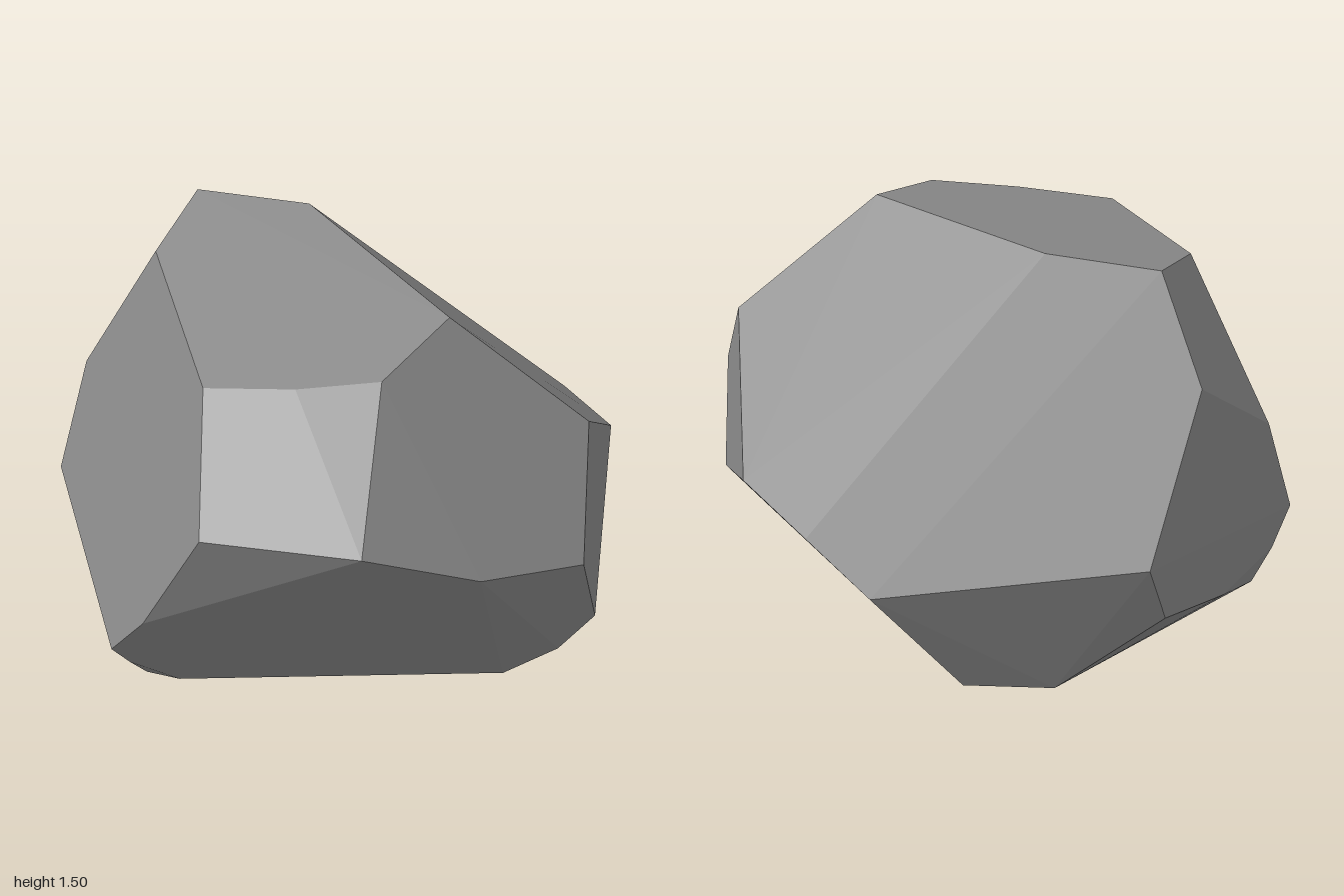
import * as THREE from 'three';
import { ConvexGeometry } from 'three/addons/geometries/ConvexGeometry.js';

export function createModel() {
  const group = new THREE.Group();
  group.name = 'rock';

  const stoneGrey = new THREE.MeshStandardMaterial({ color: 0x8a8a8a });
  stoneGrey.name = 'stone grey';

  // Corners of the boulder, grouped from the crown to the base
  const crown = [
    [-0.15, 1.5, -0.38], [-0.56, 1.475, -0.45], [-0.65, 1.39, -0.14],
    [-0.35, 1.255, 0.55], [-0.02, 1.29, 0.56], [0.28, 1.33, 0.52], [0.46, 1.43, 0.2],
  ];
  const shoulder = [
    [0.94, 1.02, 0.12], [0.99, 0.65, 0.48], [0.68, 0.71, 0.77], [0.3, 0.88, 1],
    [-0.29, 0.86, 0.94], [-0.93, 0.82, -0.32], [-0.71, 1.13, -0.68],
  ];
  const belly = [
    [0.9, 0.655, -0.5], [0.67, 0.6, -0.84], [0.44, 0.435, -0.975], [-0.54, 0.575, -1],
    [-0.59, 0.35, -0.91], [-0.78, 0.28, -0.58], [-0.87, 0.23, -0.37], [-0.94, 0.33, -0.3],
    [-1, 0.45, -0.21], [-0.52, 0.42, 0.78], [-0.66, 0.22, 0.63], [-0.61, 0.13, 0.55],
    [0.99, 0.33, 0.27], [0.86, 0.19, 0.28],
  ];
  const base = [
    [0.65, 0.025, 0.2], [0.12, 0.035, -0.83], [-0.2, 0.03, -0.83],
    [-0.69, 0.015, -0.13], [-0.58, 0.005, 0.39], [-0.46, 0, 0.41],
  ];

  // Faceted convex stone wrapped around the corners
  const corners = [...crown, ...shoulder, ...belly, ...base].map((p) => new THREE.Vector3(...p));
  const boulder = new THREE.Mesh(new ConvexGeometry(corners), stoneGrey);
  boulder.name = 'boulder';
  group.add(boulder);

  return group;
}
